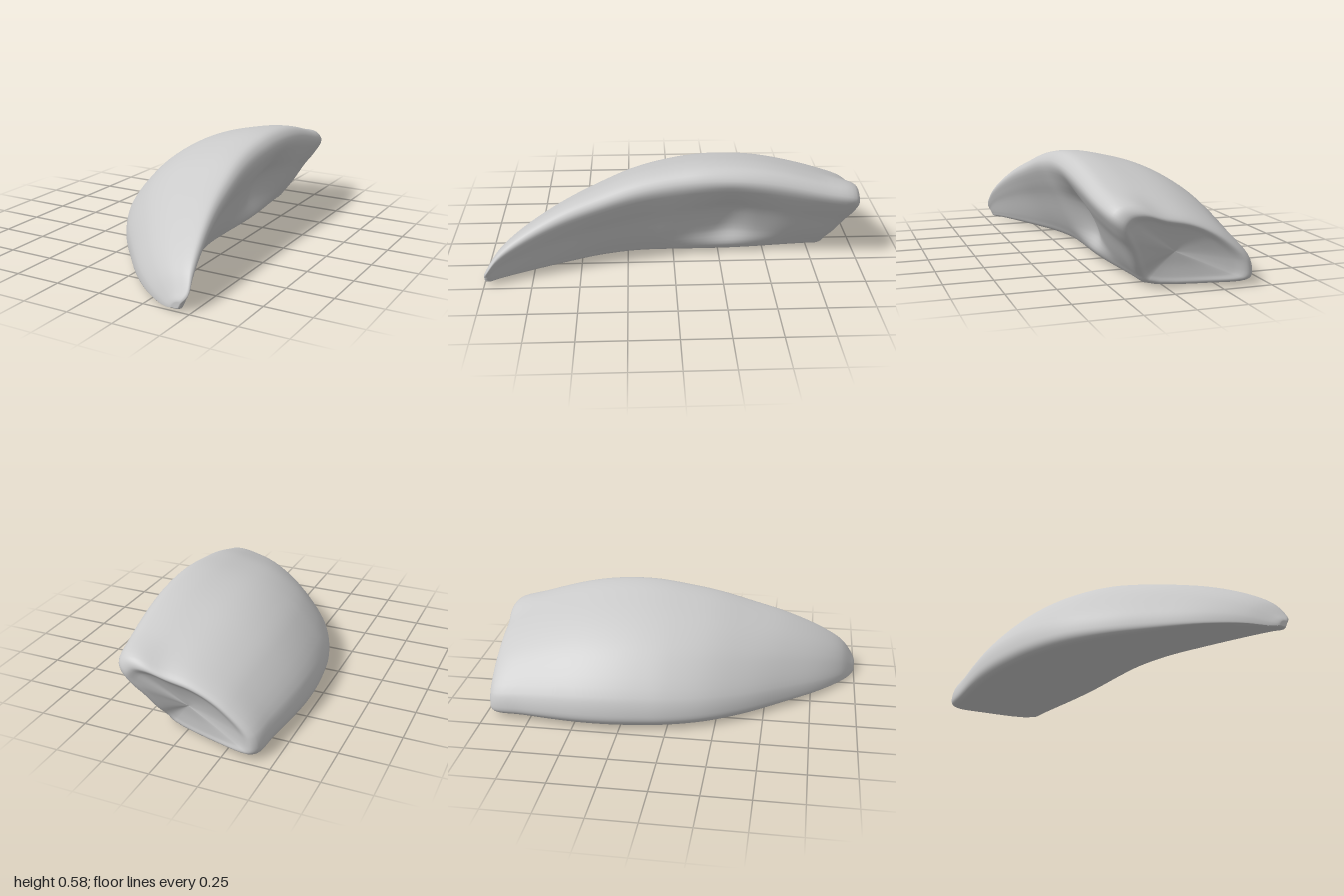
import * as THREE from 'three';

// Stations from back to tip: z, left x, right rim x, top y, bottom right x, scale about centre, forward slant of the lower right
const stations = [
  [-0.975, -0.41, 0.27, 0.40, 0.12, 0.0, 0.16],
  [-0.978, -0.41, 0.27, 0.40, 0.12, 0.4, 0.16],
  [-0.988, -0.41, 0.27, 0.40, 0.12, 0.75, 0.16],
  [-1.00, -0.42, 0.275, 0.40, 0.12, 0.92, 0.165],
  [-0.965, -0.422, 0.30, 0.425, 0.12, 1, 0.15],
  [-0.80, -0.443, 0.33, 0.473, 0.13, 1, 0.07],
  [-0.60, -0.47, 0.345, 0.53, 0.145, 1, 0.01],
  [-0.45, -0.483, 0.352, 0.56, 0.16, 1, 0],
  [-0.30, -0.482, 0.355, 0.574, 0.17, 1, 0],
  [-0.15, -0.467, 0.355, 0.573, 0.172, 1, 0],
  [0.00, -0.44, 0.352, 0.555, 0.17, 1, 0],
  [0.20, -0.37, 0.36, 0.515, 0.175, 1, 0],
  [0.40, -0.25, 0.38, 0.45, 0.215, 1, 0],
  [0.60, -0.09, 0.41, 0.375, 0.29, 1, 0],
  [0.80, 0.09, 0.45, 0.27, 0.375, 1, 0],
  [0.92, 0.235, 0.475, 0.18, 0.43, 1, 0],
  [0.98, 0.345, 0.482, 0.095, 0.455, 1, 0],
  [1.00, 0.38, 0.47, 0.07, 0.45, 0.6, 0],
  [1.00, 0.38, 0.47, 0.07, 0.45, 0, 0],
];

// Closed cross-section: hollow right side, rounded rim, domed top, flat base
function section([z, xL, xR, yT, xB, scale, slant]) {
  const W = xR - xL;
  const at = (u, v, s = 0) => [xL + u * W, v * yT, s];
  const foot = Math.min(0.022, yT * 0.2);
  const dimple = Math.exp(-(((z + 0.3) / 0.17) ** 2));
  const depth = (0.015 + 0.07 * dimple) * Math.min(1, W / 0.7);
  const side = (t, d) => [xB + (xR - xB) * t - d * depth, foot + (yT * 0.82 - foot) * t, 1 - t];
  const flat = z < -0.9 ? 0.95 : 1;
  const pts = [
    [xB - 0.05 * W, foot * 0.75, 1],
    [xB, foot + 0.08 * yT, 0.95],
    side(0.3, 0.85), side(0.62, 0.9), side(0.85, 0.35),
    at(1, 0.88), at(0.95, 0.985), at(0.84, 1), at(0.67, 0.957 * flat, 0.08),
    at(0.49, 0.885 * flat, 0.12), at(0.34, 0.78 * flat, 0.14), at(0.2, 0.63 * flat, 0.14),
    at(0.03, 0.33, 0.14), at(0, 0.16, 0.14), at(0.008, 0.09, 0.14),
    [xL + 0.045 * W, foot, 0.16],
    [xL + 0.35 * (xB - xL), foot * 0.5, 0.42],
  ];
  const cx = xL + W * 0.55, cy = yT * 0.45;
  // Slant evens out towards the centre so the end closes in one point
  const loop = pts.map(([x, y, s]) => new THREE.Vector3(
    cx + (x - cx) * scale, cy + (y - cy) * scale, z + slant * (0.45 + (s - 0.45) * scale)));
  return new THREE.CatmullRomCurve3(loop, true, 'centripetal');
}

function loft() {
  const around = 68, along = (stations.length - 1) * 5;
  const curves = stations.map(section);
  const pos = [], index = [];
  // Lengthwise splines through matching points of every section
  const rails = Array.from({ length: around }, (_, j) =>
    new THREE.CatmullRomCurve3(curves.map((c) => c.getPoint(j / around)), false, 'centripetal'));
  for (let i = 0; i <= along; i++) {
    for (const rail of rails) {
      const p = rail.getPoint(i / along);
      pos.push(p.x, Math.max(0, p.y), THREE.MathUtils.clamp(p.z, -1, 1));
    }
  }
  for (let i = 0; i < along; i++) {
    for (let j = 0; j < around; j++) {
      const k = (j + 1) % around;
      const a = i * around + j, b = i * around + k;
      index.push(a, b, a + around, b, b + around, a + around);
    }
  }
  const geo = new THREE.BufferGeometry();
  geo.setAttribute('position', new THREE.Float32BufferAttribute(pos, 3));
  geo.setIndex(index);
  geo.computeVertexNormals();
  return geo;
}

export function createModel() {
  const group = new THREE.Group();
  group.name = 'curvedClaw';
  const body = new THREE.Mesh(loft(), new THREE.MeshStandardMaterial({ color: 0xcccccc }));
  body.name = 'clawBody';
  group.add(body);
  return group;
}
